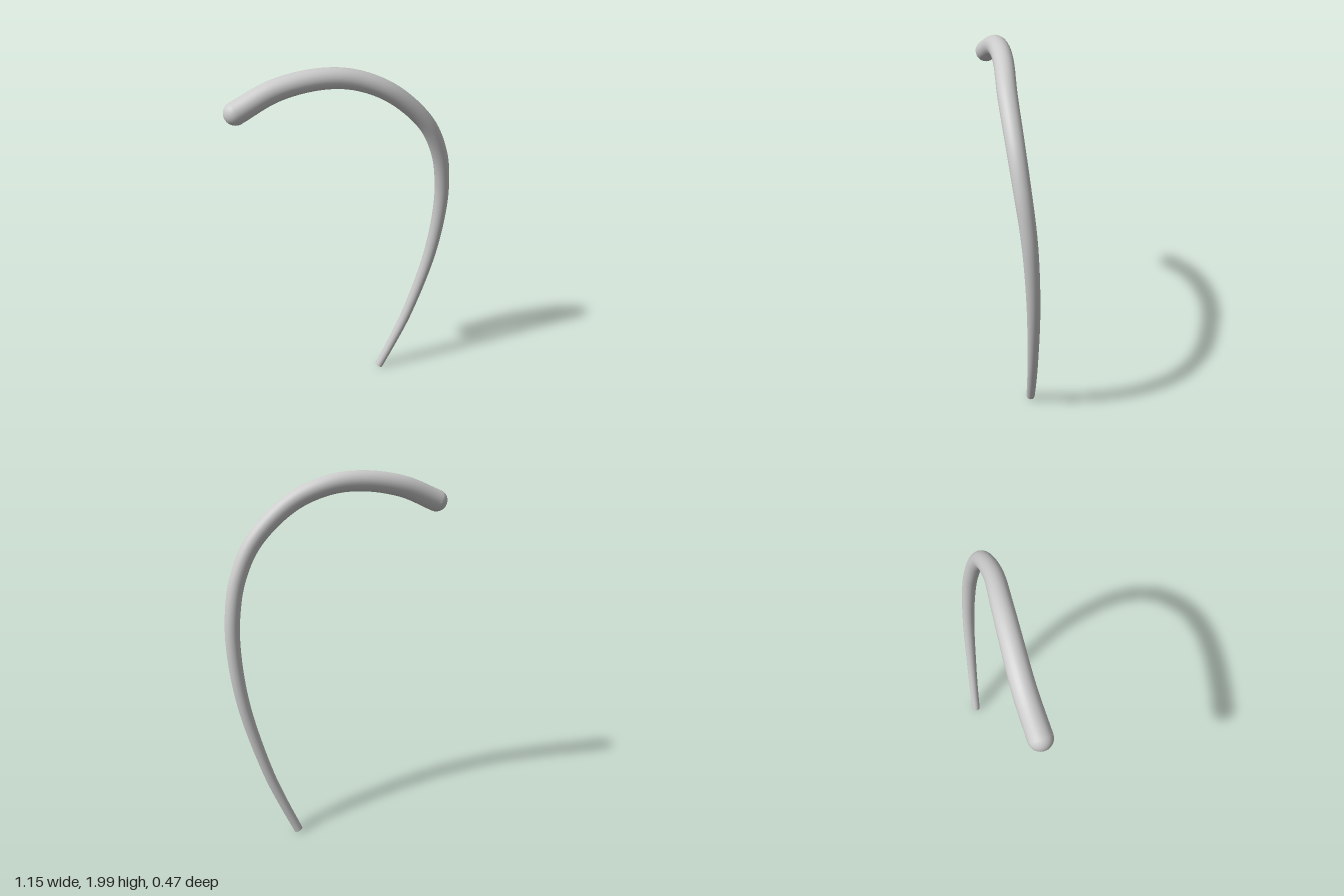
import * as THREE from 'three';

const R_TOP = 0.057, R_TIP = 0.024, SEGMENTS = 96, SIDES = 28;

// Centre line, from the rounded upper end to the thin lower tip
const path = new THREE.CatmullRomCurve3([
  [-0.52, 1.826, -0.18], [-0.33, 1.91, -0.125], [-0.13, 1.945, -0.045],
  [0.03, 1.928, 0.026], [0.2, 1.846, 0.107], [0.384, 1.664, 0.172],
  [0.476, 1.48, 0.189], [0.52, 1.29, 0.182], [0.531, 1.1, 0.167],
  [0.505, 0.8, 0.133], [0.41, 0.4, 0.07], [0.342, 0.2, 0.029], [0.272, 0.02, -0.01],
].map(p => new THREE.Vector3(...p)), false, 'centripetal');

// Tube whose rings shrink evenly along the path
function taperedTube() {
  const geo = new THREE.TubeGeometry(path, SEGMENTS, 1, SIDES, false);
  const pos = geo.attributes.position, v = new THREE.Vector3();
  for (let i = 0; i <= SEGMENTS; i++) {
    const t = i / SEGMENTS, centre = path.getPointAt(t);
    const r = THREE.MathUtils.lerp(R_TOP, R_TIP, t);
    for (let j = 0; j <= SIDES; j++) {
      const k = i * (SIDES + 1) + j;
      v.fromBufferAttribute(pos, k).sub(centre).multiplyScalar(r).add(centre);
      pos.setXYZ(k, v.x, v.y, v.z);
    }
  }
  return geo;
}

export function createModel() {
  const group = new THREE.Group();
  group.name = 'curvedTaperedRod';
  const material = new THREE.MeshStandardMaterial({ color: 0xcccccc });
  const add = (name, geo) => {
    const mesh = new THREE.Mesh(geo, material);
    mesh.name = name;
    group.add(mesh);
    return mesh;
  };

  add('rod', taperedTube());

  // Dome closing the thick end
  const dome = add('roundedEnd',
    new THREE.SphereGeometry(R_TOP, SIDES, 12, 0, Math.PI * 2, 0, Math.PI / 2));
  dome.position.copy(path.getPointAt(0));
  dome.quaternion.setFromUnitVectors(new THREE.Vector3(0, 1, 0), path.getTangentAt(0).negate());

  // Flat disc closing the thin tip
  const disc = add('flatTip', new THREE.CircleGeometry(R_TIP, SIDES));
  disc.position.copy(path.getPointAt(1));
  disc.quaternion.setFromUnitVectors(new THREE.Vector3(0, 0, 1), path.getTangentAt(1));

  return group;
}
